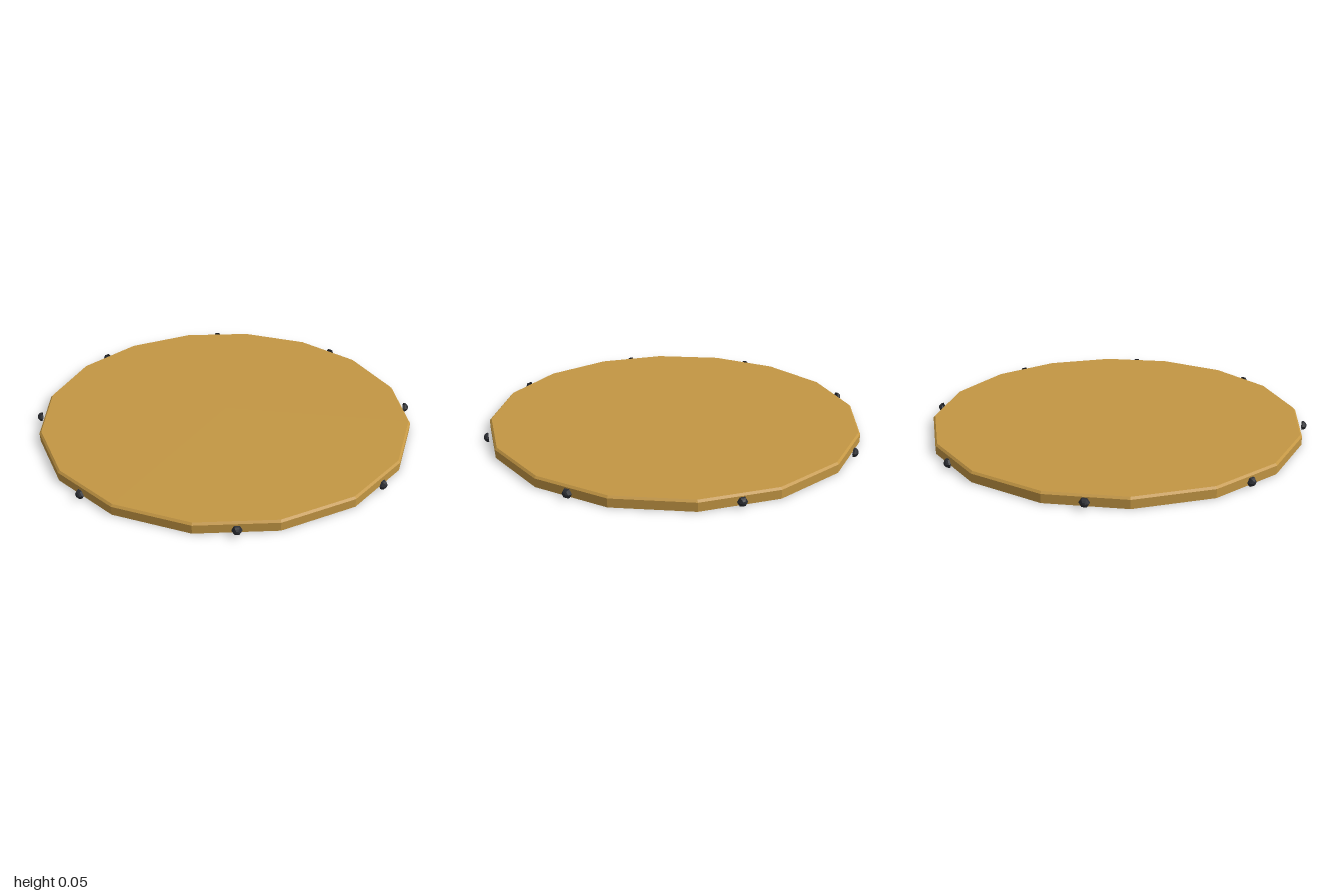
import * as THREE from 'three';

const SIDES = 16;
const RADIUS = 1 / Math.cos(Math.PI / SIDES); // corner radius, flats at distance 1
const HEIGHT = 0.055;
const BEVEL = 0.01;

export function createModel() {
  const model = new THREE.Group();
  model.name = 'studdedPlate';

  const wood = new THREE.MeshStandardMaterial({ color: 0xc49744, flatShading: true });
  const iron = new THREE.MeshStandardMaterial({
    color: 0x2b2d33, flatShading: true, side: THREE.DoubleSide,
  });

  // Sixteen-sided plate with a small bevel around the top edge
  const profile = [
    [0, 0], [RADIUS, 0], [RADIUS, HEIGHT - BEVEL], [RADIUS - BEVEL, HEIGHT], [0, HEIGHT],
  ].map(([x, y]) => new THREE.Vector2(x, y));
  const plate = new THREE.Mesh(
    new THREE.LatheGeometry(profile, SIDES, Math.PI / SIDES), wood);
  plate.name = 'plate';
  model.add(plate);

  // Half-dome studs just outside every second flat, pointing outward
  const dome = new THREE.SphereGeometry(0.025, 6, 4, 0, Math.PI * 2, 0, Math.PI / 2);
  dome.rotateX(Math.PI / 2);
  for (let i = 0; i < 8; i++) {
    const angle = (i + 0.5) * Math.PI / 4;
    const stud = new THREE.Mesh(dome, iron);
    stud.name = `stud${i + 1}`;
    stud.position.set(Math.sin(angle) * RADIUS, 0.03, Math.cos(angle) * RADIUS);
    stud.rotation.y = angle;
    model.add(stud);
  }
  return model;
}
